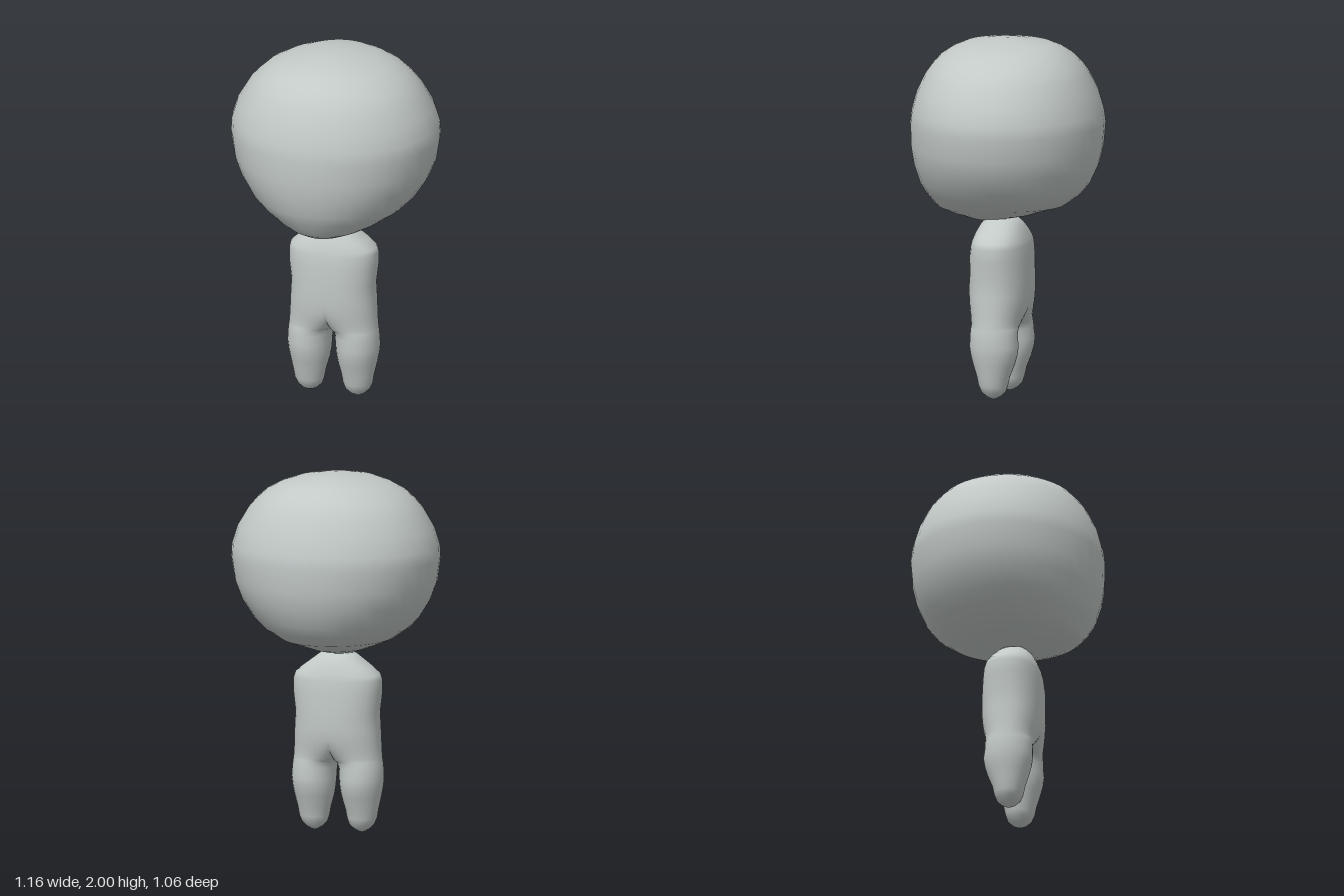
import * as THREE from 'three';
import { mergeVertices } from 'three/addons/utils/BufferGeometryUtils.js';

// Skin a stack of equal-length rows (top to bottom); optionally add the half mirrored in x.
function loft(rows, mirror) {
  const pos = [], n = rows[0].length;
  const tri = (a, b, c) => {
    pos.push(...a, ...b, ...c);
    if (mirror) for (const p of [a, c, b]) pos.push(-p[0], p[1], p[2]);
  };
  for (let i = 0; i < rows.length - 1; i++) {
    for (let j = 0; j < n - 1; j++) {
      const a = rows[i][j], b = rows[i][j + 1], c = rows[i + 1][j], d = rows[i + 1][j + 1];
      tri(a, b, c);
      tri(b, d, c);
    }
  }
  const raw = new THREE.BufferGeometry();
  raw.setAttribute('position', new THREE.Float32BufferAttribute(pos, 3));
  const geo = mergeVertices(raw, 1e-4);
  geo.computeVertexNormals();
  return geo;
}

// Head sections: y, half width, front z, back z
const HEAD = [
  [2.0, 0, 0, 0], [1.99, 0.1, 0.12, -0.13], [1.97, 0.22, 0.24, -0.25],
  [1.94, 0.31, 0.31, -0.31], [1.9, 0.385, 0.37, -0.365], [1.85, 0.44, 0.415, -0.41],
  [1.8, 0.485, 0.45, -0.445], [1.7, 0.545, 0.497, -0.493], [1.6, 0.577, 0.523, -0.522],
  [1.53, 0.58, 0.532, -0.532], [1.4, 0.56, 0.53, -0.522], [1.3, 0.52, 0.517, -0.5],
  [1.2, 0.455, 0.49, -0.455], [1.14, 0.395, 0.46, -0.407], [1.08, 0.305, 0.42, -0.325],
  [1.05, 0.24, 0.395, -0.23], [1.02, 0.165, 0.34, -0.14], [1.0, 0.11, 0.27, -0.05],
  [0.98, 0.055, 0.2, 0.05], [0.97, 0, 0.13, 0.13],
];

// Half-body sections: y, inner x, outer x, front z, back z, torso share (1 torso, 0 separate leg)
const BODY = [
  [1.0, 0, 0.04, 0.06, 0.01, 1], [0.99, 0, 0.1, 0.12, -0.05, 1], [0.96, 0, 0.14, 0.145, -0.08, 1],
  [0.92, 0, 0.195, 0.165, -0.1, 1], [0.88, 0, 0.24, 0.18, -0.115, 1], [0.85, 0, 0.25, 0.187, -0.122, 1],
  [0.78, 0, 0.25, 0.197, -0.13, 1], [0.67, 0, 0.236, 0.2, -0.134, 1], [0.58, 0, 0.241, 0.2, -0.134, 1],
  [0.52, 0, 0.244, 0.195, -0.128, 1], [0.48, 0, 0.246, 0.189, -0.12, 0.93],
  [0.45, 0, 0.248, 0.182, -0.113, 0.82], [0.42, 0, 0.251, 0.175, -0.105, 0.6],
  [0.4, 0, 0.253, 0.17, -0.1, 0.33], [0.39, 0.001, 0.255, 0.168, -0.098, 0],
  [0.36, 0.012, 0.258, 0.167, -0.097, 0], [0.3, 0.016, 0.261, 0.17, -0.104, 0],
  [0.25, 0.02, 0.255, 0.163, -0.097, 0], [0.2, 0.028, 0.246, 0.15, -0.083, 0],
  [0.13, 0.047, 0.23, 0.128, -0.055, 0], [0.08, 0.056, 0.222, 0.118, -0.044, 0],
  [0.045, 0.068, 0.206, 0.104, -0.032, 0], [0.02, 0.095, 0.18, 0.078, -0.006, 0],
  [0.006, 0.12, 0.155, 0.052, 0.02, 0], [0, 0.138, 0.138, 0.036, 0.036, 0],
];

const angles = (n, from) => Array.from({ length: n + 1 }, (_, j) => from + (j / n) * Math.PI * 2);

function headGeometry() {
  return loft(HEAD.map(([y, w, f, b]) => angles(40, 0).map((t) =>
    [w * Math.cos(t), y, (f + b) / 2 + ((f - b) / 2) * Math.sin(t)])), false);
}

// Each half runs from the back midline round the side to the front midline;
// as the torso share drops to 0 the midline pinches shut and the leg separates.
function bodyGeometry() {
  return loft(BODY.map(([y, inner, outer, f, b, share]) => angles(28, -Math.PI).map((t) => {
    const x = (inner + outer) / 2 + ((outer - inner) / 2) * Math.cos(t);
    const side = Math.abs(Math.abs(t) - Math.PI) < 1e-6 ? Math.sign(t) : Math.sin(t) > 1e-6 ? 1 : Math.sin(t) < -1e-6 ? -1 : 0;
    const ratio = outer > 0 ? Math.min(1, x / outer) : 1;
    const torso = side * Math.pow(Math.max(0, 1 - Math.pow(ratio, 2.3)), 1 / 2.3);
    const z = torso * share + Math.sin(t) * (1 - share);
    return [x, y, (f + b) / 2 + ((f - b) / 2) * z];
  })), true);
}

export function createModel() {
  const group = new THREE.Group();
  const skin = new THREE.MeshStandardMaterial({ color: 0xc2c9c7 });
  skin.name = 'paleGrey';
  const add = (name, geometry) => {
    const mesh = new THREE.Mesh(geometry, skin);
    mesh.name = name;
    group.add(mesh);
  };
  add('head', headGeometry());
  add('bodyAndLegs', bodyGeometry());
  return group;
}
